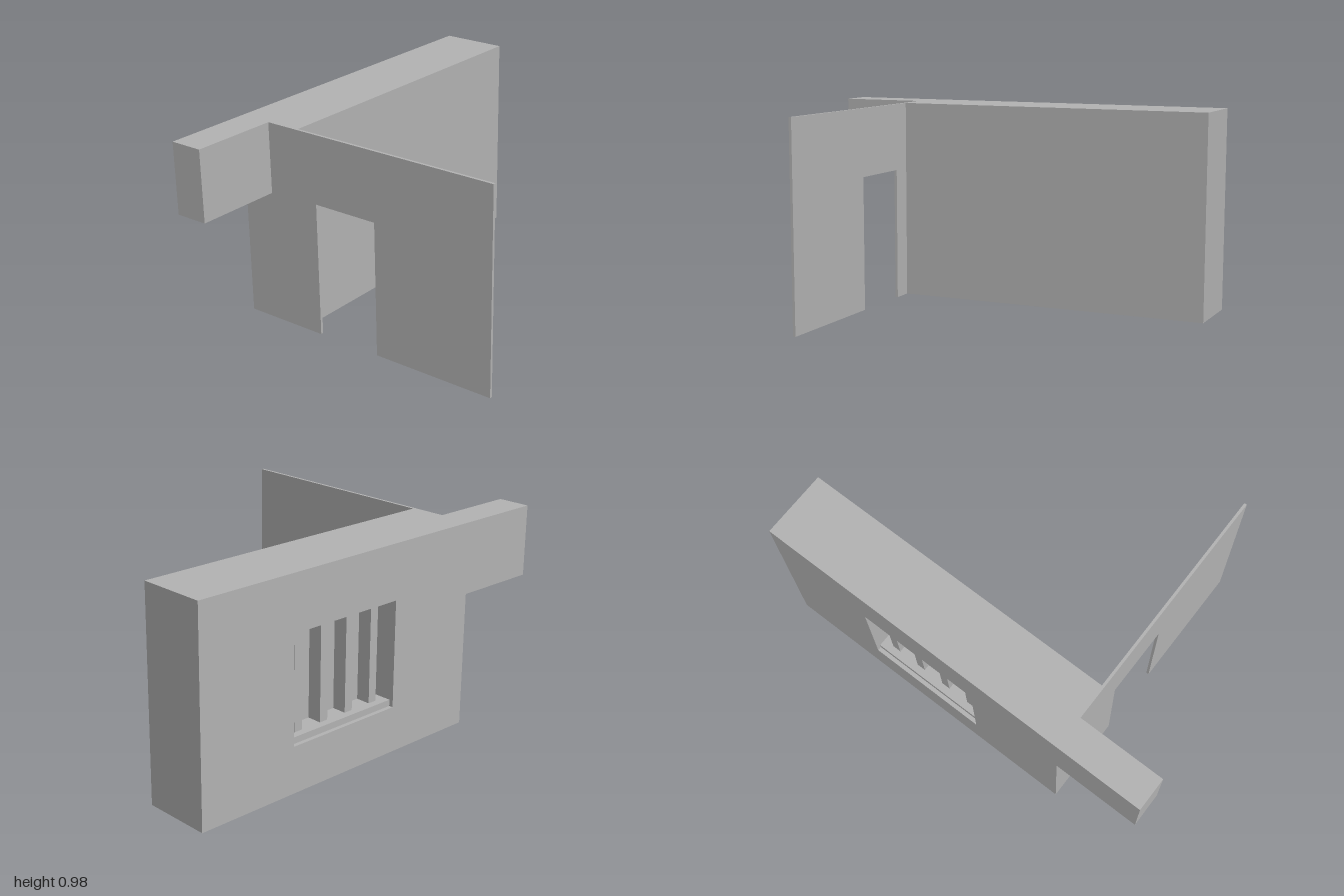
import * as THREE from 'three';

export function createModel() {
  const model = new THREE.Group();
  const plaster = new THREE.MeshStandardMaterial({ color: 0xb2b2b2 });
  plaster.name = 'grey plaster';

  function add(name, geometry) {
    const mesh = new THREE.Mesh(geometry, plaster);
    mesh.name = name;
    model.add(mesh);
    return mesh;
  }
  function box(name, x0, x1, y0, y1, z0, z1) {
    const g = new THREE.BoxGeometry(x1 - x0, y1 - y0, z1 - z0);
    return add(name, g.translate((x0 + x1) / 2, (y0 + y1) / 2, (z0 + z1) / 2));
  }
  const outline = (Type, pts) => new Type(pts.map(([x, y]) => new THREE.Vector2(x, y)));

  const back = -0.685, front = -0.36, end = -0.578, top = 0.98;
  const nicheBack = back + 0.125;
  const win = { x0: -0.105, x1: 0.498, y0: 0.218, y1: 0.72 };

  // Back layer of the thick wall, with the window niche cut out
  const face = outline(THREE.Shape, [[end, 0], [1, 0], [1, top], [end, top]]);
  face.holes.push(outline(THREE.Path, [
    [win.x0, win.y0], [win.x0, win.y1], [win.x1, win.y1], [win.x1, win.y0],
  ]));
  add('wallBackLayer', new THREE.ExtrudeGeometry(face, { depth: nicheBack - back, bevelEnabled: false }))
    .position.z = back;

  // Solid front layer closes the niche
  box('wallFrontLayer', end, 1, 0, top, nicheBack, front);

  // Lintel projecting past the wall end
  box('lintel', -1, end, 0.64, top, back, -0.525);

  // Window sill rail and vertical bars
  box('windowSill', win.x0, win.x1, win.y0, win.y0 + 0.03, back + 0.02, nicheBack);
  const pitch = (win.x1 - win.x0) / 4;
  for (let i = 0; i < 4; i++) {
    const x = win.x0 + pitch * (i + 0.5);
    box('windowBar', x - 0.022, x + 0.022, win.y0 + 0.03, win.y1, back + 0.055, nicheBack);
  }

  // Thin partition with a doorway, drawn in (-z, y) and turned to run along z
  const panel = outline(THREE.Shape, [
    [-0.685, 0], [-0.07, 0], [-0.07, 0.65], [0.26, 0.65],
    [0.26, 0], [-front, 0], [-front, top], [-0.685, top],
  ]);
  const partition = add('doorwayPartition',
    new THREE.ExtrudeGeometry(panel, { depth: 0.013, bevelEnabled: false }));
  partition.rotation.y = Math.PI / 2;
  partition.position.x = end;

  return model;
}
